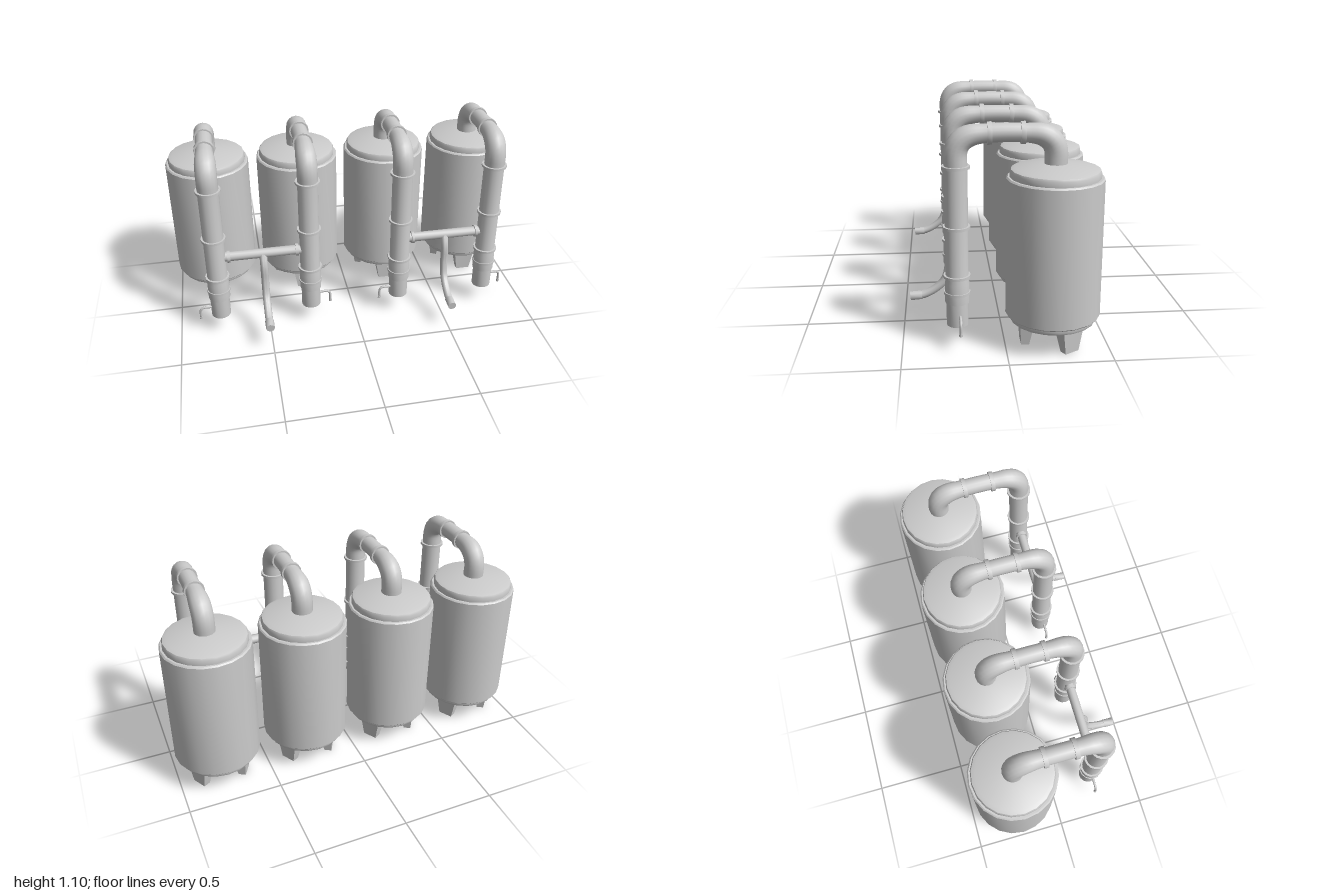
import * as THREE from 'three';
import { toCreasedNormals } from 'three/addons/utils/BufferGeometryUtils.js';

const grey = new THREE.MeshStandardMaterial({ color: 0xcccccc });
const TANK_Z = -0.235, PIPE_Z = 0.23;

function add(parent, name, geometry, x = 0, y = 0, z = 0) {
  const mesh = new THREE.Mesh(geometry, grey);
  mesh.name = name;
  mesh.position.set(x, y, z);
  parent.add(mesh);
  return mesh;
}

// Turned part from [radius, height] pairs, listed bottom to top
function turned(profile, sides) {
  const points = profile.map(([r, y]) => new THREE.Vector2(r, y));
  return toCreasedNormals(new THREE.LatheGeometry(points, sides), 0.6);
}

// Closed ring or rod centred on its own origin
function rod(radius, length, sides = 16) {
  return toCreasedNormals(new THREE.CylinderGeometry(radius, radius, length, sides), 0.8);
}

// Tube along [x, y, z] points, its radius given by a rule of the centre point
function tube(points, steps, sides, radiusAt) {
  const curve = new THREE.CatmullRomCurve3(points.map(p => new THREE.Vector3(...p)), false, 'centripetal');
  const geometry = new THREE.TubeGeometry(curve, steps, 1, sides);
  const pos = geometry.attributes.position, v = new THREE.Vector3();
  for (let i = 0; i < pos.count; i++) {
    const c = curve.getPointAt(Math.floor(i / (sides + 1)) / steps);
    v.fromBufferAttribute(pos, i).sub(c).multiplyScalar(radiusAt(c)).add(c);
    pos.setXYZ(i, v.x, v.y, v.z);
  }
  geometry.computeVertexNormals();
  return toCreasedNormals(geometry, 0.9);
}

// Foot tapering downwards
function legGeometry() {
  const geometry = new THREE.BoxGeometry(0.125, 0.13, 0.072);
  const pos = geometry.attributes.position;
  for (let i = 0; i < pos.count; i++) {
    if (pos.getY(i) < 0) {
      pos.setX(i, pos.getX(i) * 0.64);
      pos.setZ(i, pos.getZ(i) * 0.55 + 0.008);
    }
  }
  geometry.computeVertexNormals();
  return geometry;
}

function makeTank() {
  const tank = new THREE.Group();
  tank.name = 'tank';
  tank.position.z = TANK_Z;
  add(tank, 'tankBody', turned([
    [0, 0.105], [0.09, 0.108], [0.19, 0.12], [0.21, 0.13], [0.215, 0.14], [0.215, 0.156],
    [0.225, 0.156], [0.232, 0.163], [0.232, 0.835], [0.225, 0.842], [0.215, 0.842],
    [0.215, 0.868], [0.21, 0.878], [0.19, 0.885], [0.07, 0.904], [0, 0.905],
  ], 20));
  // Three feet, one facing forward
  for (let i = 0; i < 3; i++) {
    const holder = new THREE.Group();
    holder.name = 'legHolder';
    holder.rotation.y = i * Math.PI * 2 / 3;
    add(holder, 'leg', legGeometry(), 0, 0.065, 0.129);
    tank.add(holder);
  }
  return tank;
}

function makePipe() {
  const pipe = new THREE.Group();
  pipe.name = 'pipe';
  // Upright pipe with a thicker lower sleeve
  add(pipe, 'uprightPipe', turned([
    [0, 0.108], [0.053, 0.108], [0.053, 0.225], [0.059, 0.225], [0.059, 0.325],
    [0.055, 0.345], [0.055, 0.9], [0, 0.9],
  ], 16), 0, 0, PIPE_Z);
  for (const [y, r] of [[0.275, 0.064], [0.36, 0.066], [0.605, 0.066], [0.895, 0.067]]) {
    add(pipe, 'uprightCollar', rod(r, 0.013), 0, y, PIPE_Z);
  }
  // Arch over to the tank lid, slimmer along the top
  add(pipe, 'archPipe', tube([
    [0, 0.89, PIPE_Z], [0, 0.965, PIPE_Z], [0, 1.008, 0.212], [0, 1.038, 0.17], [0, 1.05, 0.08],
    [0, 1.05, -0.08], [0, 1.038, -0.175], [0, 1.008, -0.217], [0, 0.965, TANK_Z], [0, 0.89, TANK_Z],
  ], 36, 16, c => 0.045 + 0.01 * THREE.MathUtils.smoothstep(Math.abs(c.z), 0.08, 0.21)));
  for (const z of [0.075, -0.08]) {
    add(pipe, 'archCollar', rod(0.054, 0.022), 0, 1.05, z).rotation.x = Math.PI / 2;
  }
  return pipe;
}

// Small hooked drain on the outer side of an upright pipe
function makeDrain(side) {
  const z = -side * 0.012;
  const drain = new THREE.Group();
  drain.name = 'drain';
  drain.position.z = PIPE_Z;
  add(drain, 'drainTube', tube([
    [side * 0.04, 0.165, z], [side * 0.09, 0.166, z], [side * 0.106, 0.16, z],
    [side * 0.112, 0.145, z], [side * 0.113, 0.098, z],
  ], 14, 8, () => 0.007));
  add(drain, 'drainTip', rod(0.009, 0.012, 8), side * 0.113, 0.1, z);
  return drain;
}

// Cross pipe joining two uprights, with a curved spout at its middle
function makeManifold() {
  const manifold = new THREE.Group();
  manifold.name = 'manifold';
  add(manifold, 'crossPipe', rod(0.026, 0.44, 12), 0, 0.482, PIPE_Z).rotation.z = Math.PI / 2;
  for (const side of [-1, 1]) {
    add(manifold, 'crossCollar', rod(0.034, 0.016, 12), side * 0.185, 0.482, PIPE_Z).rotation.z = Math.PI / 2;
  }
  add(manifold, 'spout', tube([
    [0, 0.482, 0.235], [0, 0.42, 0.262], [0, 0.32, 0.265], [0, 0.238, 0.285],
    [0, 0.19, 0.33], [0, 0.155, 0.395], [0, 0.148, 0.45],
  ], 24, 10, () => 0.021));
  add(manifold, 'spoutTip', rod(0.024, 0.06, 8), 0, 0.149, 0.435).rotation.x = Math.PI / 2 + 0.08;
  return manifold;
}

export function createModel() {
  const model = new THREE.Group();
  model.name = 'tankRow';
  // Two pairs of tanks, each pair sharing a manifold
  for (const centre of [-0.512, 0.512]) {
    const pair = new THREE.Group();
    pair.name = 'tankPair';
    pair.position.x = centre;
    for (const side of [-1, 1]) {
      const unit = new THREE.Group();
      unit.name = 'tankUnit';
      unit.position.x = side * 0.256;
      unit.add(makeTank(), makePipe(), makeDrain(side));
      pair.add(unit);
    }
    pair.add(makeManifold());
    model.add(pair);
  }
  return model;
}
